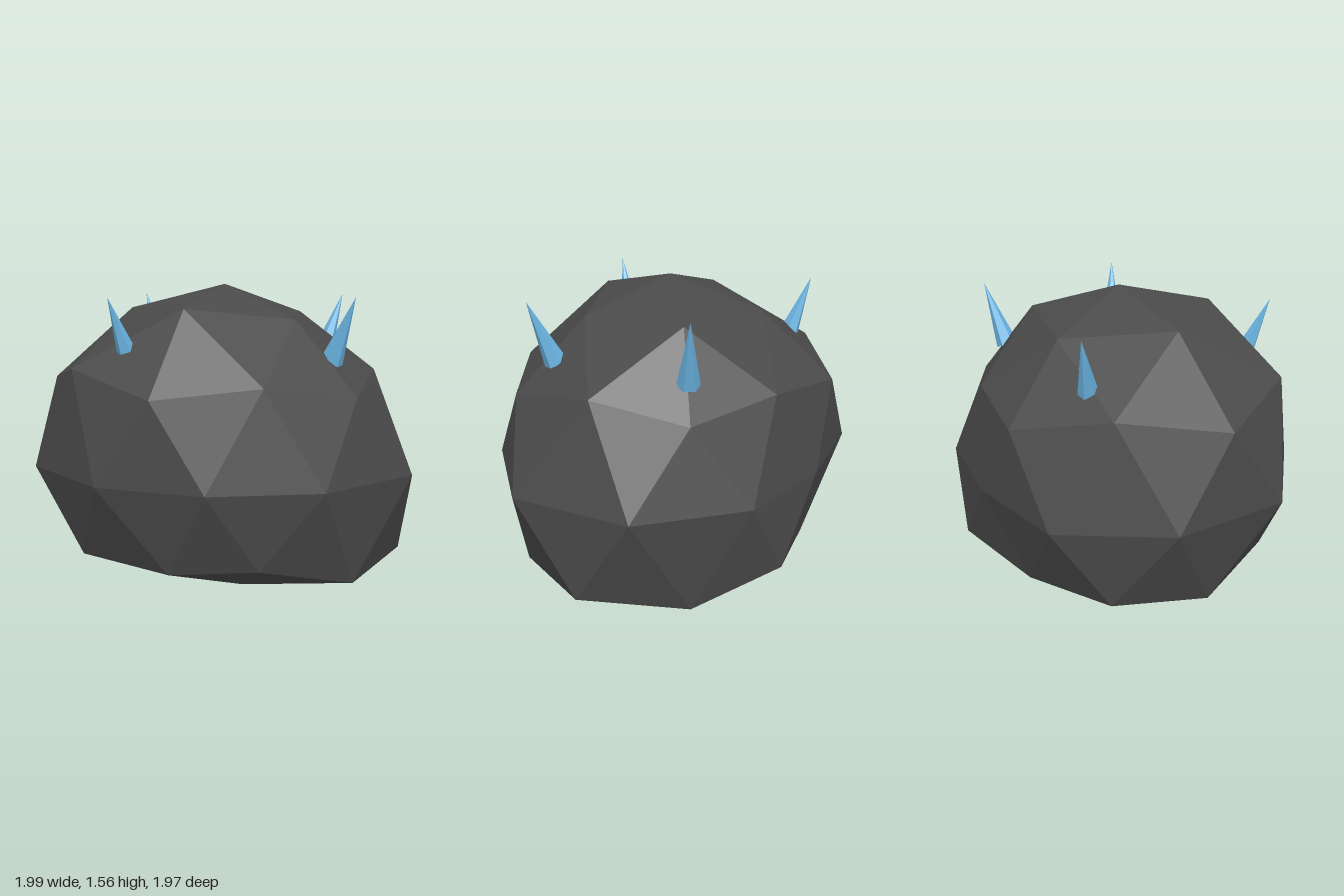
import * as THREE from 'three';

const stone = new THREE.MeshStandardMaterial({ color: 0x4a4a4a });
stone.name = 'charcoal stone';
const crystal = new THREE.MeshStandardMaterial({ color: 0x6bb5e3 });
crystal.name = 'ice blue';

// Rings of the faceted boulder, each running from +x towards +z
const top = [0, 1.56, 0.025];
const cap = [[0.51, 1.4, 0.02], [0.15, 1.38, 0.49], [-0.42, 1.44, 0.34], [-0.42, 1.43, -0.28], [0.16, 1.38, -0.45]];
const upper = [[0.83, 1.0, 0.03], [0.27, 1.01, 0.86], [-0.7, 1.02, 0.51], [-0.78, 1.04, -0.54], [0.27, 1.02, -0.82]];
const upperMid = [[0.67, 1.1, 0.5], [-0.24, 1.08, 0.8], [-0.9, 1.14, 0.03], [-0.27, 1.13, -0.81], [0.62, 1.07, -0.43]];
const waist = [[0.99, 0.34], [0.62, 0.89], [0, 0.98], [-0.53, 0.75], [-0.91, 0.32],
  [-1, -0.3], [-0.6, -0.81], [0, -0.99], [0.51, -0.69], [0.9, -0.27]].map(([x, z]) => [x, 0.585, z]);
const lower = [[0.8, 0.09, 0.6], [-0.25, 0.18, 0.79], [-0.85, 0.15, 0], [-0.26, 0.13, -0.83], [0.75, 0.17, -0.46]];
const lowerMid = [[0.88, 0.04, 0.03], [0.28, 0.05, 0.85], [-0.6, 0.14, 0.5], [-0.68, 0.06, -0.5], [0.25, 0.11, -0.7]];
const base = [[0.42, 0, 0.3], [-0.15, 0, 0.47], [-0.48, 0, 0], [-0.15, 0, -0.45], [0.42, 0, -0.3]];
const bottom = [0, 0, 0];

function boulderGeometry() {
  const points = [];
  const tri = (...corners) => corners.forEach((p) => points.push(...p));
  for (let k = 0; k < 5; k++) {
    const n = (k + 1) % 5, p = (k + 4) % 5;
    const e0 = waist[2 * k], e1 = waist[2 * k + 1], ePrev = waist[(2 * k + 9) % 10];
    // crown
    tri(top, cap[n], cap[k]);
    tri(cap[k], cap[n], upperMid[k]);
    tri(cap[k], upperMid[k], upper[k]);
    tri(cap[n], upper[n], upperMid[k]);
    // shoulder
    tri(upper[k], upperMid[k], e0);
    tri(upperMid[k], e1, e0);
    tri(upperMid[k], upper[n], e1);
    tri(upper[k], e0, ePrev);
    // lower flank
    tri(e0, e1, lower[k]);
    tri(e0, lower[k], lowerMid[k]);
    tri(e1, lowerMid[n], lower[k]);
    tri(ePrev, e0, lowerMid[k]);
    // underside
    tri(lowerMid[k], lower[k], base[k]);
    tri(lower[k], lowerMid[n], base[k]);
    tri(lowerMid[k], base[k], base[p]);
    tri(base[k], base[n], bottom);
  }
  const g = new THREE.BufferGeometry();
  g.setAttribute('position', new THREE.Float32BufferAttribute(points, 3));
  g.computeVertexNormals(); // unshared corners keep the facets flat
  return g;
}

// Six-sided spike from a base centre to a tip
function spike(name, from, to, radius) {
  const a = new THREE.Vector3(...from), b = new THREE.Vector3(...to);
  const axis = b.clone().sub(a);
  const g = new THREE.ConeGeometry(radius, axis.length(), 6).toNonIndexed();
  g.computeVertexNormals();
  const mesh = new THREE.Mesh(g, crystal);
  mesh.name = name;
  mesh.position.copy(a).add(b).multiplyScalar(0.5);
  mesh.quaternion.setFromUnitVectors(new THREE.Vector3(0, 1, 0), axis.normalize());
  return mesh;
}

export function createModel() {
  const model = new THREE.Group();
  model.name = 'spikedBoulder';
  const boulder = new THREE.Mesh(boulderGeometry(), stone);
  boulder.name = 'boulder';
  model.add(
    boulder,
    spike('frontSpike', [0.265, 1.17, 0.65], [0.31, 1.5, 0.78], 0.06),
    spike('leftSpike', [0.68, 1.16, 0.02], [0.81, 1.5, 0.03], 0.06),
    spike('rightSpike', [-0.675, 1.235, 0.205], [-0.78, 1.5, 0.23], 0.048),
    spike('backSpike', [-0.085, 1.19, -0.66], [-0.1, 1.5, -0.78], 0.055),
  );
  return model;
}
